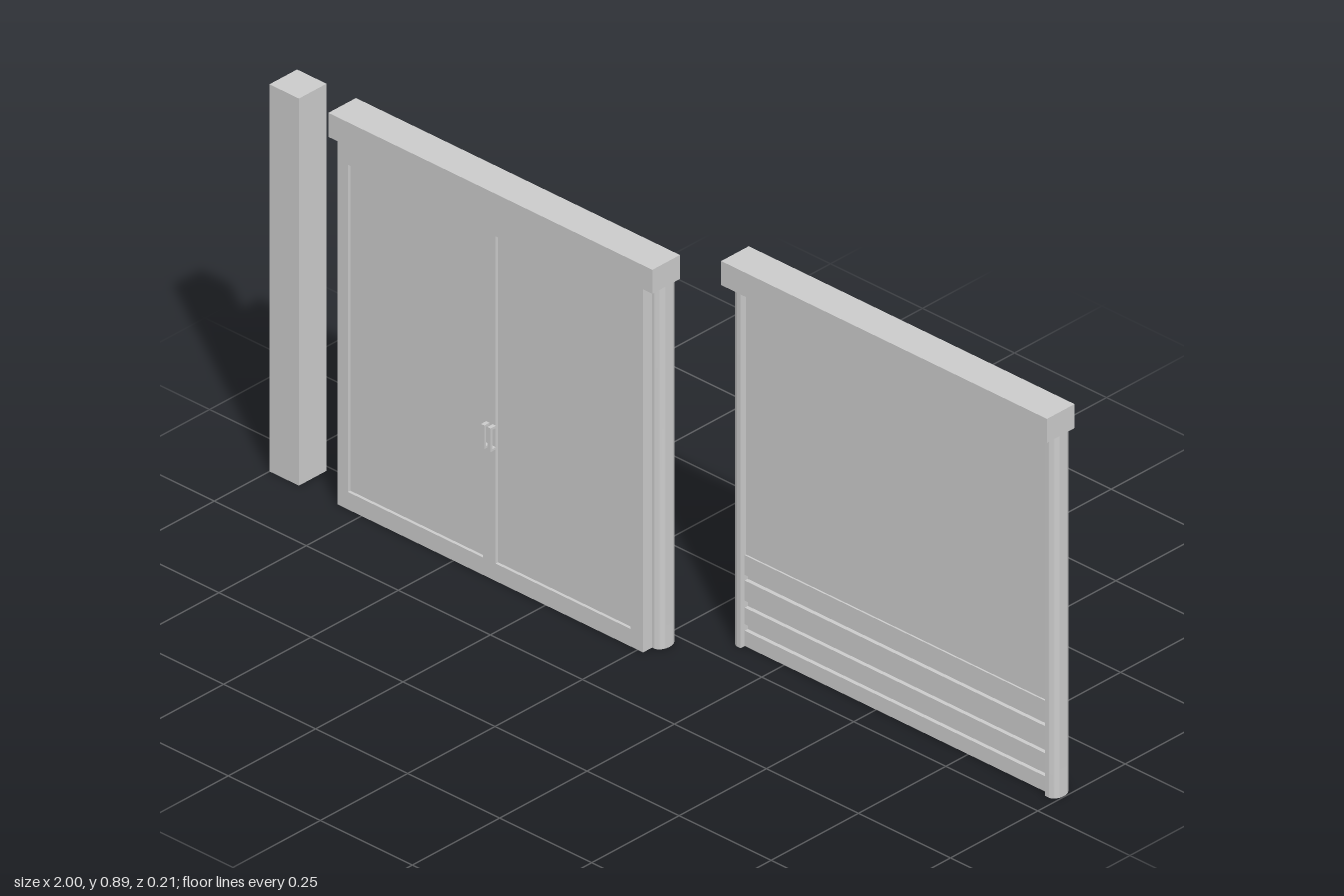
import * as THREE from 'three';
import { toCreasedNormals } from 'three/addons/utils/BufferGeometryUtils.js';

const grey = new THREE.MeshStandardMaterial({ color: 0xcccccc, side: THREE.DoubleSide });

// Box given by its limits on each axis
function box(parent, name, [x0, x1], [y0, y1], [z0, z1]) {
  const mesh = new THREE.Mesh(new THREE.BoxGeometry(x1 - x0, y1 - y0, z1 - z0), grey);
  mesh.position.set((x0 + x1) / 2, (y0 + y1) / 2, (z0 + z1) / 2);
  mesh.name = name;
  parent.add(mesh);
  return mesh;
}

// Hollow post with a flat inner side and a rounded outer side, open at the ends
function roundedPost(parent, name, inner, outer, z0, z1, height) {
  const depth = (z1 - z0) / 2;
  const width = Math.abs(outer - inner);
  const straight = width * 0.35;
  const shape = new THREE.Shape();
  shape.moveTo(0, -depth);
  shape.lineTo(straight, -depth);
  shape.absellipse(straight, 0, width - straight, depth, -Math.PI / 2, Math.PI / 2, false);
  shape.lineTo(0, depth);
  shape.closePath();
  const solid = new THREE.ExtrudeGeometry(shape, { depth: height, bevelEnabled: false, curveSegments: 16 });
  // Keep only the walls
  const walls = solid.groups[1];
  const geometry = new THREE.BufferGeometry();
  const positions = solid.attributes.position.array.slice(walls.start * 3, (walls.start + walls.count) * 3);
  geometry.setAttribute('position', new THREE.BufferAttribute(positions, 3));
  geometry.rotateX(-Math.PI / 2);
  const mesh = new THREE.Mesh(toCreasedNormals(geometry, 0.6), grey);
  if (outer < inner) mesh.rotation.y = Math.PI;
  mesh.position.set(inner, 0, (z0 + z1) / 2);
  mesh.name = name;
  parent.add(mesh);
}

function rectangle(Type, x0, x1, y0, y1) {
  return new Type([[x0, y0], [x1, y0], [x1, y1], [x0, y1]].map(([x, y]) => new THREE.Vector2(x, y)));
}

// Free-standing square post, open underneath
function createSquarePost() {
  const group = new THREE.Group();
  group.name = 'squarePost';
  const post = box(group, 'post', [-1, -0.92], [0, 0.887], [0.013, 0.092]);
  const index = Array.from(post.geometry.index.array);
  index.splice(18, 6);
  post.geometry.setIndex(index);
  post.geometry.clearGroups();
  return group;
}

// Double door between two rounded posts
function createDoor() {
  const group = new THREE.Group();
  group.name = 'doubleDoor';
  box(group, 'doorHeader', [-0.84, 0.04], [0.832, 0.887], [0.013, 0.092]);
  roundedPost(group, 'doorPostLeft', 0.01, 0.038, 0.014, 0.066, 0.832);
  roundedPost(group, 'doorPostRight', -0.81, -0.838, 0.014, 0.066, 0.832);

  // Frame with an opening for each leaf
  const leaves = [[-0.787, -0.42], [-0.386, -0.019]];
  const shape = rectangle(THREE.Shape, -0.815, 0.015, 0, 0.832);
  for (const [x0, x1] of leaves) shape.holes.push(rectangle(THREE.Path, x0, x1, 0.04, 0.79));
  const frame = new THREE.Mesh(
    new THREE.ExtrudeGeometry(shape, { depth: 0.026, bevelEnabled: false }), grey);
  frame.position.z = 0.066;
  frame.name = 'doorFrame';
  group.add(frame);
  for (const x of leaves) box(group, 'doorPanel', x, [0.04, 0.79], [0.073, 0.085]);

  // A pair of bracket handles on both faces
  for (const x of [[-0.411, -0.402], [-0.394, -0.385]]) {
    for (const side of [1, -1]) {
      const span = (a, b) => [0.079 + side * a, 0.079 + side * b].sort((p, q) => p - q);
      box(group, 'handleGrip', x, [0.302, 0.356], span(0.023, 0.028));
      for (const y of [[0.302, 0.307], [0.351, 0.356]])
        box(group, 'handleArm', x, y, span(0.013, 0.023));
    }
  }
  return group;
}

// Shutter with a large panel over narrow slats
function createShutter() {
  const group = new THREE.Group();
  group.name = 'shutter';
  box(group, 'shutterHeader', [0.115, 1], [0.832, 0.887], [-0.105, -0.026]);
  roundedPost(group, 'shutterPostLeft', 0.97, 0.998, -0.102, -0.052, 0.832);
  roundedPost(group, 'shutterPostRight', 0.143, 0.117, -0.102, -0.052, 0.832);
  const x = [0.143, 0.97];
  box(group, 'topRail', x, [0.822, 0.832], [-0.095, -0.059]);
  box(group, 'backing', x, [0, 0.822], [-0.081, -0.073]);
  box(group, 'largePanel', x, [0.208, 0.822], [-0.086, -0.068]);
  for (const y of [[0.163, 0.208], [0.104, 0.15], [0.05, 0.088], [0, 0.035]])
    box(group, 'slat', x, y, [-0.09, -0.064]);
  return group;
}

export function createModel() {
  const model = new THREE.Group();
  model.name = 'doorAndShutterSet';
  model.add(createSquarePost(), createDoor(), createShutter());
  return model;
}
